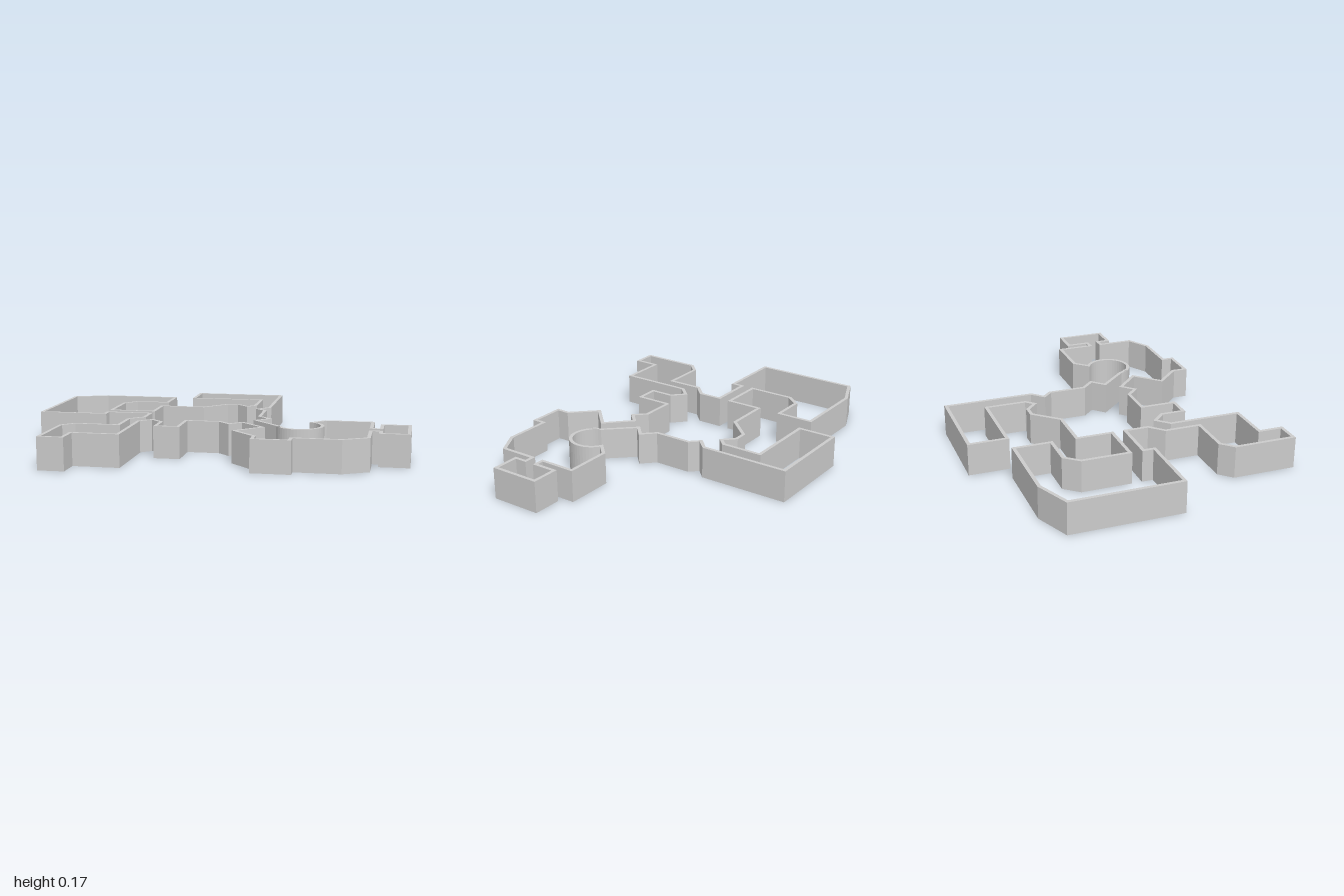
import * as THREE from 'three';

const HEIGHT = 0.166, HALF_WALL = 0.009;

// Wall centreline as [x, z], clockwise seen from above
const backRooms = [
  [-0.991, -0.497], [-0.812, -0.571], [-0.398, -0.571], [-0.398, -0.378], [-0.577, -0.378], [-0.637, -0.307],
  [-0.637, -0.059], [-0.398, -0.059], [-0.398, -0.247], [-0.158, -0.247], [-0.043, -0.372], [0.022, -0.372],
  [0.08, -0.317], [0.12, -0.357], [0.12, -0.571], [-0.281, -0.571], [-0.281, -0.766], [0.21, -0.766],
  [0.21, -0.297], [0.153, -0.24], [0.199, -0.193], [0.199, 0.003], [0.262, 0.068], [0.199, 0.128],
];
const rightRooms = [
  [0.56, 0.071], [0.802, 0.071], [0.802, 0.258], [0.853, 0.258], [0.853, 0.138], [0.991, 0.138],
  [0.991, 0.388], [0.853, 0.388], [0.853, 0.325], [0.802, 0.325], [0.802, 0.513], [0.68, 0.581],
  [0.439, 0.581], [0.439, 0.638], [0.258, 0.638], [0.258, 0.566], [0.14, 0.443], [0.262, 0.321],
  [0.14, 0.201], [0.08, 0.258], [0.022, 0.201],
];
const leftRooms = [
  [-0.158, 0.201], [-0.158, 0.385], [-0.276, 0.385], [-0.276, 0.263], [-0.338, 0.203], [-0.398, 0.263],
  [-0.398, 0.641], [-0.637, 0.641], [-0.637, 0.766], [-0.755, 0.766], [-0.755, 0.448], [-0.697, 0.39],
  [-0.467, 0.39], [-0.467, 0.203], [-0.398, 0.135], [-0.398, 0.011], [-0.637, 0.011], [-0.637, 0.069], [-0.991, 0.069],
];

// Rounded alcove between the back and right rooms
function alcove(segments = 28) {
  const points = [];
  for (let i = 0; i <= segments; i++) {
    const a = THREE.MathUtils.lerp(2.84, -1.09, i / segments);
    points.push([0.442 + 0.114 * Math.cos(a), 0.238 + 0.114 * Math.sin(a)]);
  }
  return points;
}

// Parallel copy of a closed loop with mitred corners; shape y is -z
function offsetLoop(points, distance) {
  const n = points.length;
  const normal = (a, b) => new THREE.Vector2(b[1] - a[1], a[0] - b[0]).normalize();
  return points.map((p, i) => {
    const n1 = normal(points[(i + n - 1) % n], p);
    const n2 = normal(p, points[(i + 1) % n]);
    const k = distance / (1 + n1.dot(n2));
    return new THREE.Vector2(p[0] + (n1.x + n2.x) * k, -(p[1] + (n1.y + n2.y) * k));
  });
}

export function createModel() {
  const group = new THREE.Group();
  group.name = 'floorPlanWalls';
  const material = new THREE.MeshStandardMaterial({ color: 0xcccccc });

  // One continuous wall: outer outline with the inner outline as a hole
  const centreline = [...backRooms, ...alcove(), ...rightRooms, ...leftRooms];
  const shape = new THREE.Shape(offsetLoop(centreline, HALF_WALL));
  shape.holes.push(new THREE.Path(offsetLoop(centreline, -HALF_WALL).reverse()));
  const wallGeometry = new THREE.ExtrudeGeometry(shape, { depth: HEIGHT, bevelEnabled: false });
  wallGeometry.rotateX(-Math.PI / 2);
  const walls = new THREE.Mesh(wallGeometry, material);
  walls.name = 'outerWall';
  group.add(walls);

  // Small raised lip on the wall top at the start of the alcove
  const profile = [[-0.025, 0], [0.02, 0], [0.014, 0.005], [0, 0.005]];
  const lipShape = new THREE.Shape(profile.map(([x, y]) => new THREE.Vector2(x, y)));
  const lipGeometry = new THREE.ExtrudeGeometry(lipShape, { depth: 0.012, bevelEnabled: false });
  lipGeometry.translate(0, 0, -0.006);
  const lip = new THREE.Mesh(lipGeometry, material);
  lip.name = 'alcoveLip';
  lip.position.set(0.347, HEIGHT, 0.3);
  lip.rotation.y = -0.99;
  group.add(lip);
  return group;
}
